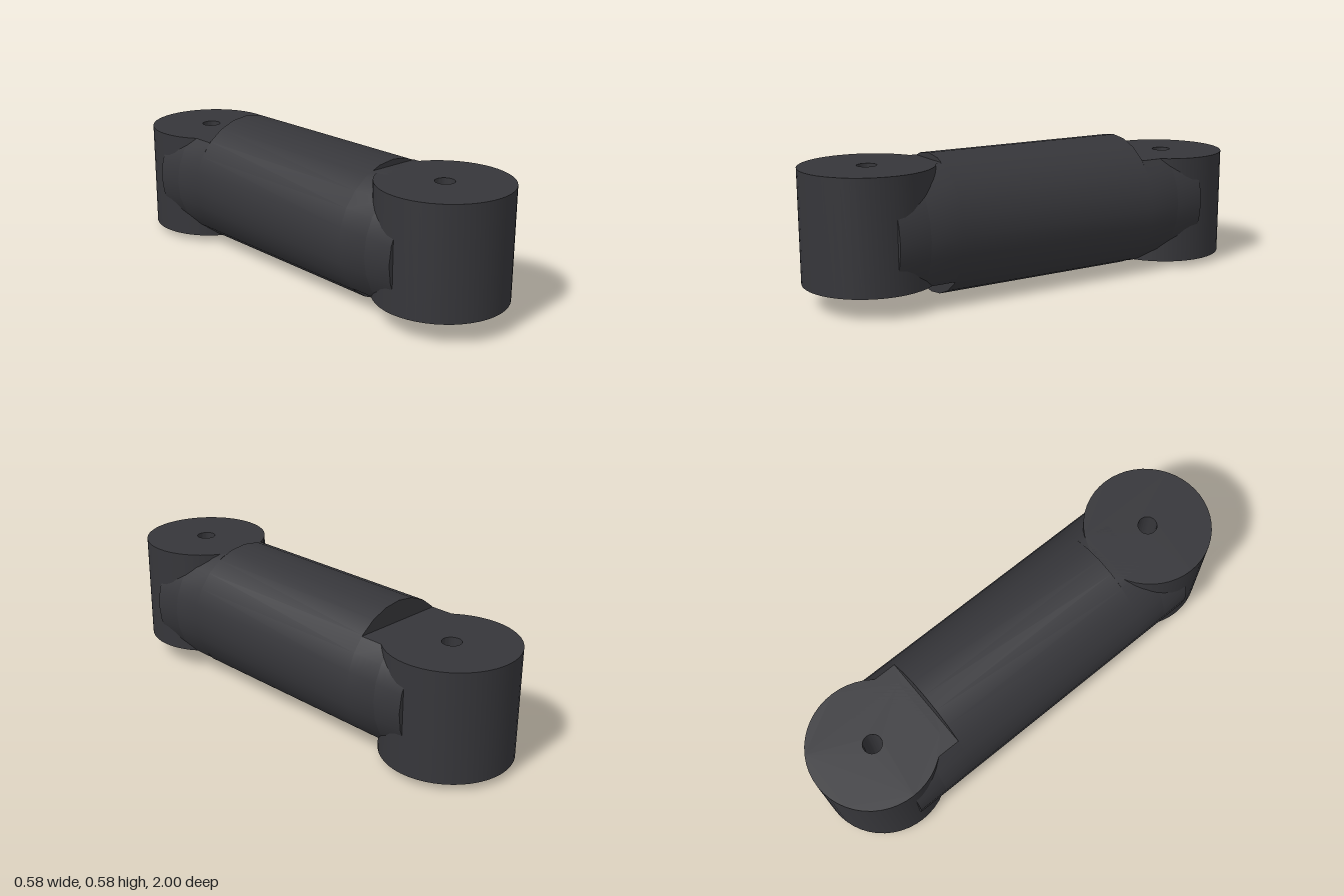
import * as THREE from 'three';
import { toCreasedNormals } from 'three/addons/utils/BufferGeometryUtils.js';

const ROD_R = 0.29, ROD_Y = 0.29, STEP = Math.PI / 12;
const HEAD_R = 0.27, HEAD_Z = 0.73, BORE_R = 0.04;
const BODY_Z = 0.46, SIDE_Z = 0.6, SIDE_X = 0.13;

const material = new THREE.MeshStandardMaterial({ color: 0x36363a });

function addMesh(parent, name, geometry) {
  const mesh = new THREE.Mesh(toCreasedNormals(geometry, Math.PI / 6), material);
  mesh.name = name;
  parent.add(mesh);
}

// Points on one side of the round rod, between two heights
function rodArc(y0, y1, side) {
  const a0 = Math.asin((y0 - ROD_Y) / ROD_R), a1 = Math.asin((y1 - ROD_Y) / ROD_R);
  const angles = [a0];
  for (let i = -6; i <= 6; i++) {
    const a = i * STEP;
    if (a > a0 + 0.02 && a < a1 - 0.02) angles.push(a);
  }
  angles.push(a1);
  return angles.map(a => new THREE.Vector2(side * ROD_R * Math.cos(a), ROD_Y + ROD_R * Math.sin(a)));
}

// Section in x and y, run along z from za to zb
function extrudeZ(points, za, zb) {
  const depth = Math.abs(zb - za);
  return new THREE.ExtrudeGeometry(new THREE.Shape(points), { depth, bevelEnabled: false })
    .translate(0, 0, Math.min(za, zb));
}

// Bored upright head with the trimmed rod end that runs into it
function makeEnd(name, dir, y0, y1) {
  const end = new THREE.Group();
  end.name = name;

  const disc = new THREE.Shape().absarc(0, 0, HEAD_R, 0, Math.PI * 2);
  disc.holes.push(new THREE.Path().absarc(0, 0, BORE_R, 0, Math.PI * 2, true));
  const head = new THREE.ExtrudeGeometry(disc, { depth: y1 - y0, bevelEnabled: false, curveSegments: 24 });
  addMesh(end, 'boredHead', head.rotateX(-Math.PI / 2).translate(0, y0, dir * HEAD_Z));

  // Flat-topped neck between rod body and head
  const neck = [...rodArc(y0, y1, 1), ...rodArc(y0, y1, -1).reverse()];
  addMesh(end, 'neck', extrudeZ(neck, dir * BODY_Z, dir * SIDE_Z));

  // Side cheeks, kept clear of the bore
  for (const side of [1, -1]) {
    const cheek = [...rodArc(y0, y1, side),
      new THREE.Vector2(side * SIDE_X, y1), new THREE.Vector2(side * SIDE_X, y0)];
    addMesh(end, side > 0 ? 'leftCheek' : 'rightCheek', extrudeZ(cheek, dir * SIDE_Z, dir * HEAD_Z));
  }
  return end;
}

export function createModel() {
  const group = new THREE.Group();
  group.name = 'linkRod';

  // Round rod body
  const body = new THREE.CylinderGeometry(ROD_R, ROD_R, BODY_Z * 2, 24)
    .rotateX(Math.PI / 2).translate(0, ROD_Y, 0);
  addMesh(group, 'rodBody', body);

  // Heads sit at different heights
  group.add(makeEnd('frontEnd', 1, 0.092, 0.555));
  group.add(makeEnd('backEnd', -1, 0.028, 0.491));
  return group;
}
